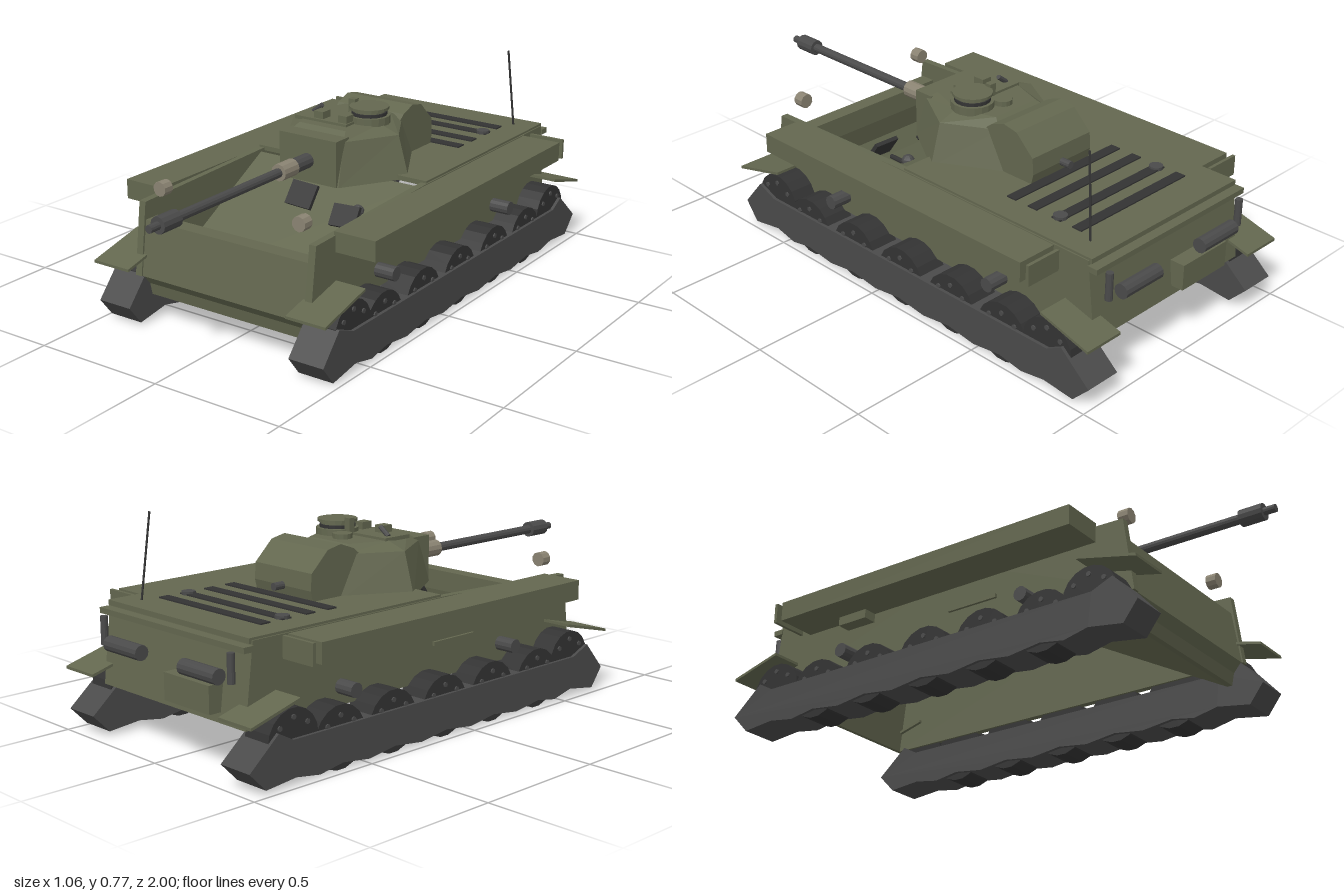
import * as THREE from 'three';

const paint = (color) => new THREE.MeshStandardMaterial({ color, flatShading: true, side: THREE.DoubleSide });
const OLIVE = paint(0x63674f), STEEL = paint(0x4a4a4a), DARK = paint(0x333333), LENS = paint(0x8a8372);

export function createModel() {
  const model = new THREE.Group();

  const add = (name, geo, mat = OLIVE, parent = model) => {
    const mesh = new THREE.Mesh(geo, mat);
    mesh.name = name;
    parent.add(mesh);
    return mesh;
  };
  // box given by its lower and upper limits
  const box = (name, x0, x1, y0, y1, z0, z1, mat) => {
    const m = add(name, new THREE.BoxGeometry(x1 - x0, y1 - y0, z1 - z0), mat);
    m.position.set((x0 + x1) / 2, (y0 + y1) / 2, (z0 + z1) / 2);
    return m;
  };
  // [z, y] outline extruded across x
  const profile = (name, pts, x0, x1, mat) => {
    const shape = new THREE.Shape(pts.map(([z, y]) => new THREE.Vector2(z, y)));
    const geo = new THREE.ExtrudeGeometry(shape, { depth: x1 - x0, bevelEnabled: false });
    geo.rotateY(-Math.PI / 2).translate(x1, 0, 0);
    return add(name, geo, mat);
  };
  // cylinder between two points
  const rod = (name, a, b, r, mat, sides = 12) => {
    const p = new THREE.Vector3(...a), q = new THREE.Vector3(...b);
    const m = add(name, new THREE.CylinderGeometry(r, r, p.distanceTo(q), sides), mat);
    m.position.copy(p).add(q).multiplyScalar(0.5);
    m.quaternion.setFromUnitVectors(new THREE.Vector3(0, 1, 0), q.sub(p).normalize());
    return m;
  };
  // same box or rod on both sides
  const boxes = (name, x0, x1, ...rest) => {
    box(name, x0, x1, ...rest);
    box(name, -x1, -x0, ...rest);
  };
  const rods = (name, a, b, r, mat, sides) => [1, -1].forEach((s) =>
    rod(name, [s * a[0], a[1], a[2]], [s * b[0], b[1], b[2]], r, mat, sides));
  const profiles = (name, pts, x0, x1, mat) => {
    profile(name, pts, x0, x1, mat);
    profile(name, pts, -x1, -x0, mat);
  };

  // Hull shell, open underneath
  profiles('hullSide', [[0.63, 0.445], [0.665, 0.18], [-0.925, 0.18], [-0.89, 0.465], [-0.02, 0.465]], 0.348, 0.375);
  box('rearDeck', -0.37, 0.37, 0.455, 0.473, -0.9, -0.04);
  profile('glacisPlate', [[-0.02, 0.455], [0.6, 0.112], [0.6, 0.1], [-0.02, 0.443]], -0.348, 0.348);
  profile('frontPlate', [[0.57, 0.38], [0.63, 0.38], [0.66, 0.18], [0.63, 0.145], [0.62, 0.1],
    [0.6, 0.1], [0.64, 0.18], [0.615, 0.3], [0.57, 0.3]], -0.35, 0.35);
  profile('rearPlate', [[-0.89, 0.465], [-0.925, 0.18], [-0.91, 0.18], [-0.875, 0.465]], -0.35, 0.35);
  box('rearRail', -0.38, 0.38, 0.43, 0.45, -0.93, -0.89);

  // Sponsons, mudguards and side fittings
  boxes('sponson', 0.37, 0.53, 0.39, 0.462, -0.745, 0.523);
  boxes('sponsonEndPlate', 0.39, 0.53, 0.39, 0.465, -0.782, -0.77);
  profiles('frontMudguard', [[0.745, 0.225], [0.745, 0.235], [0.52, 0.29], [0.52, 0.28]], 0.335, 0.492);
  profiles('rearMudguard', [[-1, 0.225], [-1, 0.235], [-0.8, 0.29], [-0.8, 0.28]], 0.335, 0.492);
  boxes('toolBox', 0.37, 0.427, 0.357, 0.41, -0.555, -0.43);
  boxes('towBar', 0.37, 0.385, 0.3, 0.314, -0.085, 0.12);

  // Running gear
  const wheelZ = [0.555, 0.37, 0.125, -0.12, -0.37, -0.61, -0.81];
  const outline = [[0.74, 0.085], [0.65, 0.188], [0.57, 0.155], [-0.82, 0.155], [-0.88, 0.188], [-1, 0.085], [-0.935, 0.018]];
  for (let i = wheelZ.length - 1; i > 0; i--) {
    outline.push([wheelZ[i], 0.03], [(wheelZ[i] + wheelZ[i - 1]) / 2, 0.014]);
  }
  outline.push([0.555, 0.035], [0.685, 0.014]);
  profiles('track', outline, 0.342, 0.48, STEEL);
  wheelZ.forEach((z, i) => {
    const end = i === 0 || i === wheelZ.length - 1;
    const y = end ? 0.15 : 0.112, r = end ? 0.105 : 0.11;
    rods(end ? 'driveWheel' : 'roadWheel', [0.357, y, z], [0.468, y, z], r, DARK, 18);
    for (const a of [0.7, 1.57, 2.44]) {
      const by = y + 0.075 * Math.sin(a), bz = z + 0.075 * Math.cos(a);
      rods('wheelBolt', [0.46, by, bz], [0.473, by, bz], 0.009, STEEL, 8);
    }
  });
  for (const z of [0.27, -0.52]) rods('returnRoller', [0.36, 0.245, z], [0.45, 0.245, z], 0.026, STEEL);

  // Rear deck and tail fittings
  for (const z of [-0.745, -0.655, -0.55, -0.455]) box('grille', -0.267, 0.267, 0.47, 0.478, z - 0.02, z + 0.02, DARK);
  rods('fillerCap', [0.245, 0.47, -0.655], [0.245, 0.485, -0.655], 0.025, STEEL);
  rod('antenna', [0.288, 0.47, -0.822], [0.271, 0.775, -0.79], 0.004, DARK, 6);
  rods('exhaust', [0.11, 0.345, -0.957], [0.29, 0.345, -0.957], 0.027, STEEL);
  rods('exhaustPipe', [0.335, 0.33, -0.945], [0.335, 0.43, -0.945], 0.013, STEEL);
  box('stowageBox', -0.25, -0.02, 0.215, 0.31, -0.967, -0.91);

  // Front fittings
  rods('headlight', [0.295, 0.497, 0.575], [0.295, 0.497, 0.615], 0.027, LENS, 10);
  const visor = box('visorFlap', -0.048, 0.06, 0.375, 0.465, 0.195, 0.21, DARK);
  visor.rotation.set(-0.6, 0, -0.04);
  const hatch = box('hatchFlap', 0.165, 0.27, 0.355, 0.435, 0.235, 0.25, DARK);
  hatch.rotation.set(-0.6, 0, 0.05);
  rod('bowGun', [0.195, 0.36, 0.13], [0.195, 0.36, 0.22], 0.009, DARK, 8);
  add('bowGunBall', new THREE.SphereGeometry(0.024, 10, 8), STEEL).position.set(0.195, 0.375, 0.13);

  // Turret shell lofted through hexagonal rings: y, waist x, front x/z, rear x/z
  const rings = [
    [0.455, 0.275, 0.13, 0.155, 0.145, -0.31],
    [0.61, 0.23, 0.12, 0.11, 0.125, -0.26],
    [0.637, 0.15, 0.1, 0.07, 0.1, -0.22],
  ].map(([y, w, fx, fz, rx, rz]) => [[w, y, -0.075], [rx, y, rz], [-rx, y, rz], [-w, y, -0.075], [-fx, y, fz], [fx, y, fz]]);
  const verts = [];
  for (let k = 0; k < rings.length - 1; k++) {
    for (let i = 0; i < 6; i++) {
      const j = (i + 1) % 6, lo = rings[k], up = rings[k + 1];
      verts.push(...lo[i], ...lo[j], ...up[j], ...lo[i], ...up[j], ...up[i]);
    }
  }
  const roof = rings[rings.length - 1];
  for (let i = 1; i < 5; i++) verts.push(...roof[0], ...roof[i], ...roof[i + 1]);
  const shell = new THREE.BufferGeometry();
  shell.setAttribute('position', new THREE.Float32BufferAttribute(verts, 3));
  shell.computeVertexNormals();
  add('turretShell', shell);
  box('mantlet', -0.123, 0.123, 0.455, 0.623, 0.08, 0.16);
  profile('turretBin', [[-0.2, 0.47], [-0.43, 0.47], [-0.44, 0.51], [-0.435, 0.57], [-0.36, 0.642],
    [-0.3, 0.654], [-0.24, 0.632], [-0.2, 0.6]], -0.145, 0.145);
  rod('binKnob', [0, 0.51, -0.43], [0, 0.51, -0.48], 0.014, STEEL);

  // Gun: [z start, z end, radius, material]
  const gun = [['gunSleeve', 0.15, 0.25, 0.027, STEEL], ['gunCollar', 0.25, 0.33, 0.031, LENS], ['barrel', 0.33, 0.87, 0.017, STEEL],
    ['muzzleBrake', 0.87, 0.957, 0.03, STEEL], ['muzzleTip', 0.957, 1, 0.014, STEEL]];
  for (const [name, z0, z1, r, mat] of gun) rod(name, [0, 0.535, z0], [0, 0.535, z1], r, mat);

  // Cupola and roof fittings
  const cupola = [['cupolaBase', 0.63, 0.66, 0.077, OLIVE], ['cupolaRing', 0.66, 0.672, 0.065, DARK],
    ['cupolaNeck', 0.672, 0.681, 0.06, OLIVE], ['cupolaLid', 0.681, 0.691, 0.072, OLIVE]];
  for (const [name, y0, y1, r, mat] of cupola) rod(name, [0.09, y0, -0.095], [0.09, y1, -0.095], r, mat, 18);
  rod('ventilator', [0, 0.63, -0.155], [0, 0.655, -0.155], 0.035, OLIVE, 14);
  box('ventilatorCap', 0, 0.027, 0.655, 0.702, -0.12, -0.095);
  box('roofPlate', -0.15, 0.075, 0.632, 0.646, -0.09, 0.03);
  box('periscope', -0.072, -0.032, 0.64, 0.672, -0.025, 0.02);
  box('periscope', 0.032, 0.07, 0.64, 0.672, -0.025, 0.02);
  rod('roofLever', [-0.125, 0.645, -0.05], [-0.085, 0.675, -0.05], 0.009, STEEL, 8);

  return model;
}
